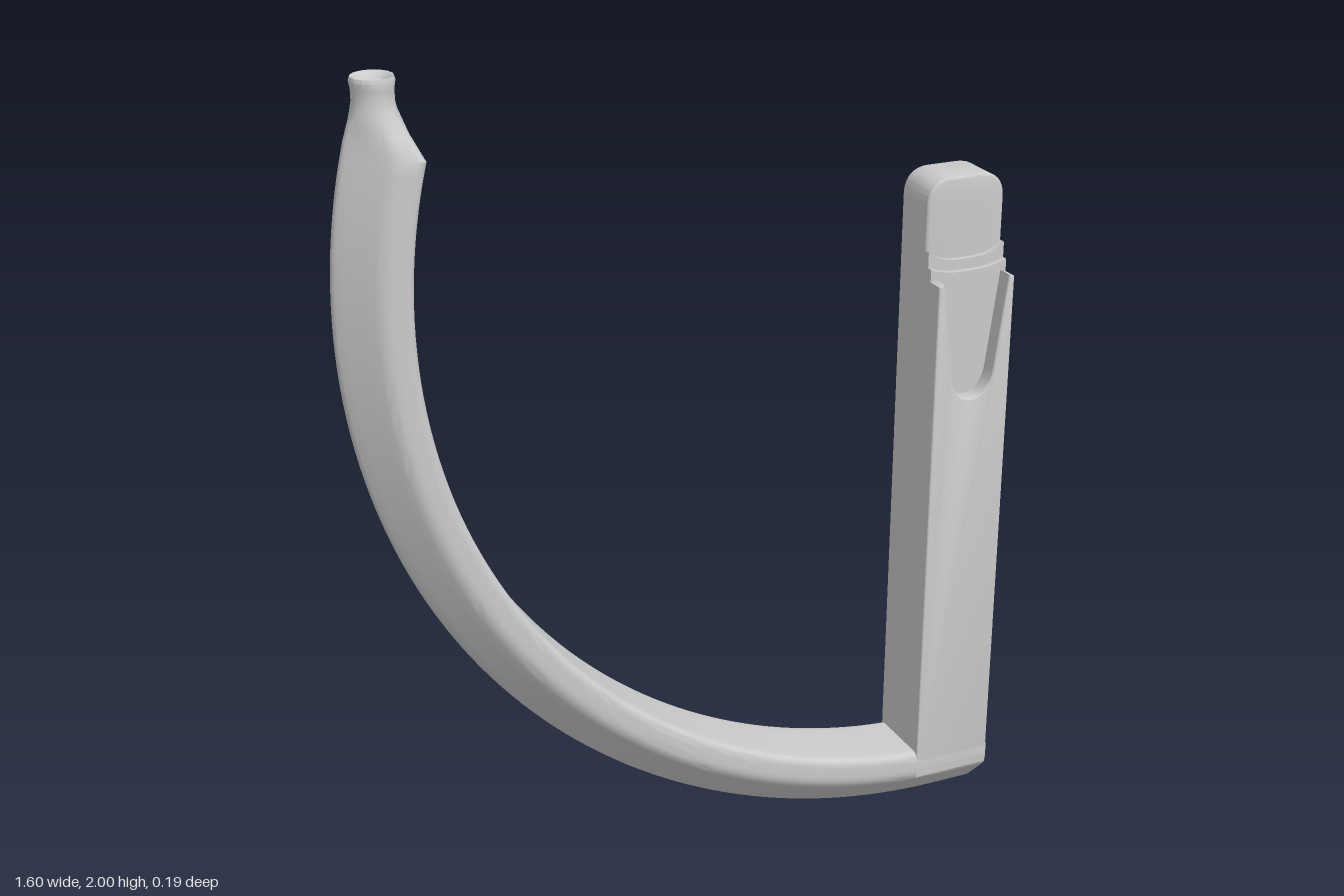
import * as THREE from 'three';
import { toCreasedNormals } from 'three/addons/utils/BufferGeometryUtils.js';

const HALF = 0.093;          // half thickness in z
const CX = 0.7, CY = 1.5;    // centre of the curved arm
const NECK_X = -0.683;

// Pentagon section (radius, z) with a ridge on the outside and softened corners
function sectionPoints() {
  const corners = [[1.505, 0], [1.41, HALF], [1.343, HALF], [1.343, -HALF], [1.41, -HALF]]
    .map(([u, z]) => new THREE.Vector2(u, z));
  const pts = [];
  corners.forEach((c, i) => {
    const prev = corners[(i + 4) % 5], next = corners[(i + 1) % 5];
    const toward = (p) => c.clone().add(p.clone().sub(c).setLength(0.02));
    const a = toward(prev), b = toward(next);
    pts.push(...new THREE.QuadraticBezierCurve(a, c, b).getPoints(4));
    const nextStart = next.clone().add(c.clone().sub(next).setLength(0.02));
    for (const t of [0.25, 0.5, 0.75]) pts.push(b.clone().lerp(nextStart, t));
  });
  return pts;
}

// Skin a list of closed rings
function loft(rings) {
  const n = rings[0].length, pos = [], index = [];
  rings.forEach((r) => r.forEach((p) => pos.push(p.x, p.y, p.z)));
  for (let i = 0; i < rings.length - 1; i++) {
    for (let j = 0; j < n; j++) {
      const k = (j + 1) % n, a = i * n + j, b = i * n + k;
      index.push(a, b, b + n, a, b + n, a + n);
    }
  }
  const g = new THREE.BufferGeometry();
  g.setAttribute('position', new THREE.Float32BufferAttribute(pos, 3));
  g.setIndex(index);
  return toCreasedNormals(g, 0.6);
}

// Curved arm, running from the foot of the post up to the tapered neck
function armGeometry() {
  const section = sectionPoints();
  const arc = (a, dx = 0) => section.map((p) =>
    new THREE.Vector3(CX + dx + p.x * Math.cos(a), CY + p.x * Math.sin(a), p.y));
  const neck = (y, r) => section.map((p) => {
    const t = Math.atan2(p.y, p.x - 1.415);
    return new THREE.Vector3(NECK_X - r * Math.cos(t), y, r * Math.sin(t));
  });
  const bottom = Math.PI * 1.5, top = Math.PI - 0.25, steps = 72;
  const foot = arc(bottom, 0.1);
  const rings = [foot.map(() => new THREE.Vector3(0.8, 0.09, 0)), foot];
  for (let i = 0; i <= steps; i++) rings.push(arc(bottom + (top - bottom) * i / steps));
  const end = rings[rings.length - 1], collar = neck(1.93, 0.049);
  rings.push(end.map((p, i) => p.clone().lerp(collar[i], 0.5)), collar);
  // neck with a shallow cup in its tip
  for (const [y, r] of [[1.95, 0.045], [1.975, 0.045], [1.992, 0.048], [2, 0.045],
    [1.996, 0.038], [1.985, 0.03], [1.978, 0]]) rings.push(neck(y, r));
  return loft(rings);
}

// Extruded slab between two z planes with lightly rounded edges
function slab(shape, z0, z1, bevel) {
  const g = new THREE.ExtrudeGeometry(shape, {
    depth: z1 - z0 - 2 * bevel, curveSegments: 16, bevelEnabled: bevel > 0,
    bevelThickness: bevel, bevelSize: bevel, bevelOffset: -bevel, bevelSegments: 3,
  });
  g.translate(0, 0, z0 + bevel);
  return toCreasedNormals(g, 0.6);
}

// Full-height back of the post with a rounded top
function backShape() {
  const s = new THREE.Shape(), r = 0.065;
  s.moveTo(0.6, 0.09);
  s.lineTo(0.8, 0.09);
  s.lineTo(0.8, 1.63 - r);
  s.quadraticCurveTo(0.8, 1.63, 0.8 - r, 1.63);
  s.lineTo(0.6 + r, 1.63);
  s.quadraticCurveTo(0.6, 1.63, 0.6, 1.63 - r);
  s.closePath();
  return s;
}

// Shallow step whose top edge dips in the middle
function stepShape(side, middle) {
  const s = new THREE.Shape();
  s.moveTo(0.6, 0.09);
  s.lineTo(0.8, 0.09);
  s.lineTo(0.8, side);
  s.bezierCurveTo(0.76, middle, 0.74, middle, 0.7, middle);
  s.bezierCurveTo(0.66, middle, 0.64, middle, 0.6, side);
  s.closePath();
  return s;
}

// Front face of the post with a tapering U-shaped notch
function frontShape() {
  const s = new THREE.Shape();
  s.moveTo(0.6, 0.09);
  s.lineTo(0.8, 0.09);
  s.lineTo(0.8, 1.395);
  s.lineTo(0.786, 1.4);
  s.lineTo(0.757, 1.17);
  s.bezierCurveTo(0.748, 1.083, 0.652, 1.083, 0.643, 1.17);
  s.lineTo(0.614, 1.4);
  s.lineTo(0.6, 1.395);
  s.closePath();
  return s;
}

export function createModel() {
  const group = new THREE.Group();
  const material = new THREE.MeshStandardMaterial({ color: 0xcccccc });
  const add = (name, geometry, parent = group) => {
    const mesh = new THREE.Mesh(geometry, material);
    mesh.name = name;
    parent.add(mesh);
  };

  add('curvedArm', armGeometry());

  const post = new THREE.Group();
  post.name = 'post';
  group.add(post);
  add('postBack', slab(backShape(), -HALF, 0.025, 0.006), post);
  add('upperStep', slab(stepShape(1.462, 1.435), 0, 0.038, 0), post);
  add('lowerStep', slab(stepShape(1.425, 1.41), 0, 0.052, 0), post);
  add('notchedFront', slab(frontShape(), 0.04, HALF, 0.004), post);
  return group;
}
